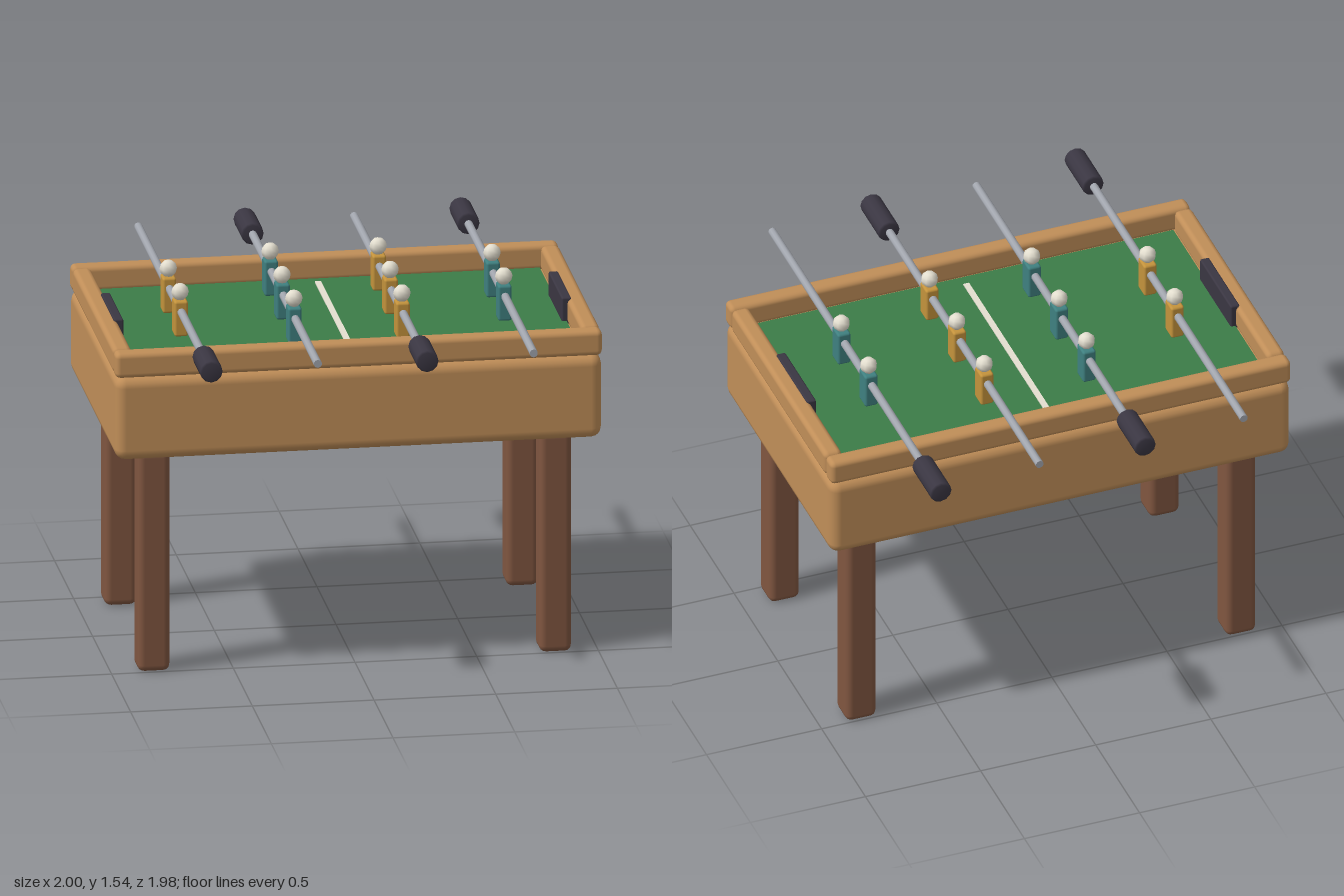
import * as THREE from 'three';
import { RoundedBoxGeometry } from 'three/addons/geometries/RoundedBoxGeometry.js';

const mat = (color) => new THREE.MeshStandardMaterial({ color });

export function createModel() {
  const table = new THREE.Group();
  table.name = 'tableFootballGame';
  const wood = mat(0xc08e58), legWood = mat(0x805640), green = mat(0x3c7c48), dark = mat(0x3a3642);
  const steel = mat(0xa2a6ae), white = mat(0xe4dfd0), yellow = mat(0xc4933c), teal = mat(0x3f8080);

  const add = (name, geometry, material, x, y, z, parent = table) => {
    const mesh = new THREE.Mesh(geometry, material);
    mesh.name = name;
    mesh.position.set(x, y, z);
    parent.add(mesh);
    return mesh;
  };
  const box = (w, h, d, r) => new RoundedBoxGeometry(w, h, d, 2, r);

  // Cabinet, playing field and centre line
  add('cabinet', box(2, 0.355, 1.225, 0.045), wood, 0, 1.117, 0);
  add('field', new THREE.BoxGeometry(1.84, 0.03, 1.06), green, 0, 1.292, 0);
  add('centreLine', new THREE.BoxGeometry(0.025, 0.008, 0.955), white, 0, 1.309, 0);

  // Rails, goals and legs, mirrored on both axes
  const longRail = box(2, 0.107, 0.077, 0.022);
  const endRail = box(0.077, 0.107, 1.075, 0.022);
  const goal = box(0.04, 0.115, 0.355, 0.008);
  const leg = box(0.132, 0.94, 0.132, 0.028);
  for (const s of [-1, 1]) {
    add('longRail', longRail, wood, 0, 1.347, s * 0.573);
    add('endRail', endRail, wood, s * 0.9615, 1.347, 0);
    add('goal', goal, dark, s * 0.92, 1.349, 0);
    for (const t of [-1, 1]) add('leg', leg, legWood, s * 0.825, 0.47, t * 0.437);
  }

  // Rods with a grip at one end and a row of players
  const rodGeometry = new THREE.CylinderGeometry(0.017, 0.017, 1.89, 10).rotateX(Math.PI / 2);
  const gripProfile = [[0, -0.11], [0.038, -0.11], [0.046, -0.102], [0.046, 0.102], [0.038, 0.11], [0, 0.11]];
  const gripGeometry = new THREE.LatheGeometry(gripProfile.map((p) => new THREE.Vector2(...p)), 12)
    .rotateX(Math.PI / 2);
  const bodyGeometry = box(0.056, 0.15, 0.076, 0.01);
  const headGeometry = new THREE.SphereGeometry(0.036, 8, 6);
  const rows = [
    { x: -0.665, gripSide: 1, color: yellow, players: [-0.155, 0.155] },
    { x: -0.222, gripSide: -1, color: teal, players: [-0.312, 0, 0.312] },
    { x: 0.222, gripSide: 1, color: yellow, players: [-0.312, 0, 0.312] },
    { x: 0.665, gripSide: -1, color: teal, players: [-0.155, 0.155] },
  ];
  for (const { x, gripSide, color, players } of rows) {
    const row = new THREE.Group();
    row.name = 'playerRod';
    row.position.set(x, 1.429, 0);
    table.add(row);
    add('rod', rodGeometry, steel, 0, 0, 0, row);
    add('grip', gripGeometry, dark, 0, 0, gripSide * 0.878, row);
    for (const z of players) {
      add('playerBody', bodyGeometry, color, 0, -0.03, z, row);
      add('playerHead', headGeometry, white, 0, 0.076, z, row);
    }
  }
  return table;
}
